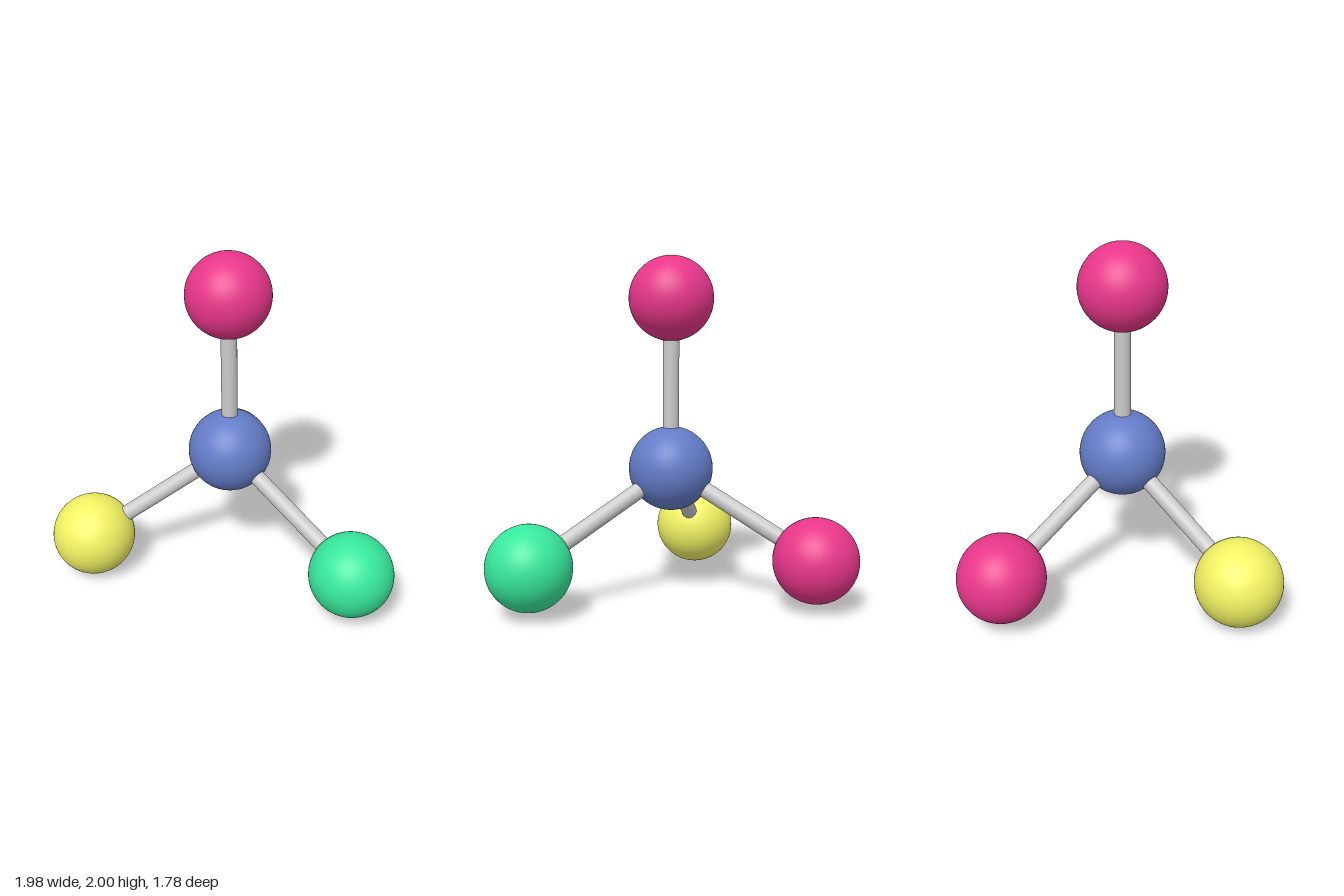
import * as THREE from 'three';

const BALL_RADIUS = 0.245;
const ROD_RADIUS = 0.047;
const PINK = 0xe8368a, GREEN = 0x38e89c, YELLOW = 0xf2f264, BLUE = 0x647cc8, GREY = 0xcccccc;

const CENTRE = new THREE.Vector3(-0.165, 0.767, 0);

// Outer balls of the tetrahedral arrangement
const OUTER = [
  { name: 'top', color: PINK, at: [-0.165, 1.755, 0] },
  { name: 'left', color: GREEN, at: [0.743, 0.284, -0.03] },
  { name: 'frontRight', color: YELLOW, at: [-0.698, 0.247, 0.645] },
  { name: 'backRight', color: PINK, at: [-0.748, 0.29, -0.645] },
];

export function createModel() {
  const model = new THREE.Group();
  model.name = 'ballAndStickModel';

  const ballGeometry = new THREE.SphereGeometry(BALL_RADIUS, 64, 40);
  const add = (name, geometry, color, position) => {
    const mesh = new THREE.Mesh(geometry, new THREE.MeshStandardMaterial({ color }));
    mesh.name = name;
    mesh.position.copy(position);
    model.add(mesh);
    return mesh;
  };

  add('centreBall', ballGeometry, BLUE, CENTRE);

  const up = new THREE.Vector3(0, 1, 0);
  for (const { name, color, at } of OUTER) {
    const end = new THREE.Vector3(...at);
    add(`${name}Ball`, ballGeometry, color, end);

    // Rod from the centre ball to the outer ball
    const along = end.clone().sub(CENTRE);
    const rodGeometry = new THREE.CylinderGeometry(ROD_RADIUS, ROD_RADIUS, along.length(), 32);
    const rod = add(`${name}Rod`, rodGeometry, GREY, CENTRE.clone().lerp(end, 0.5));
    rod.quaternion.setFromUnitVectors(up, along.normalize());
  }

  return model;
}
